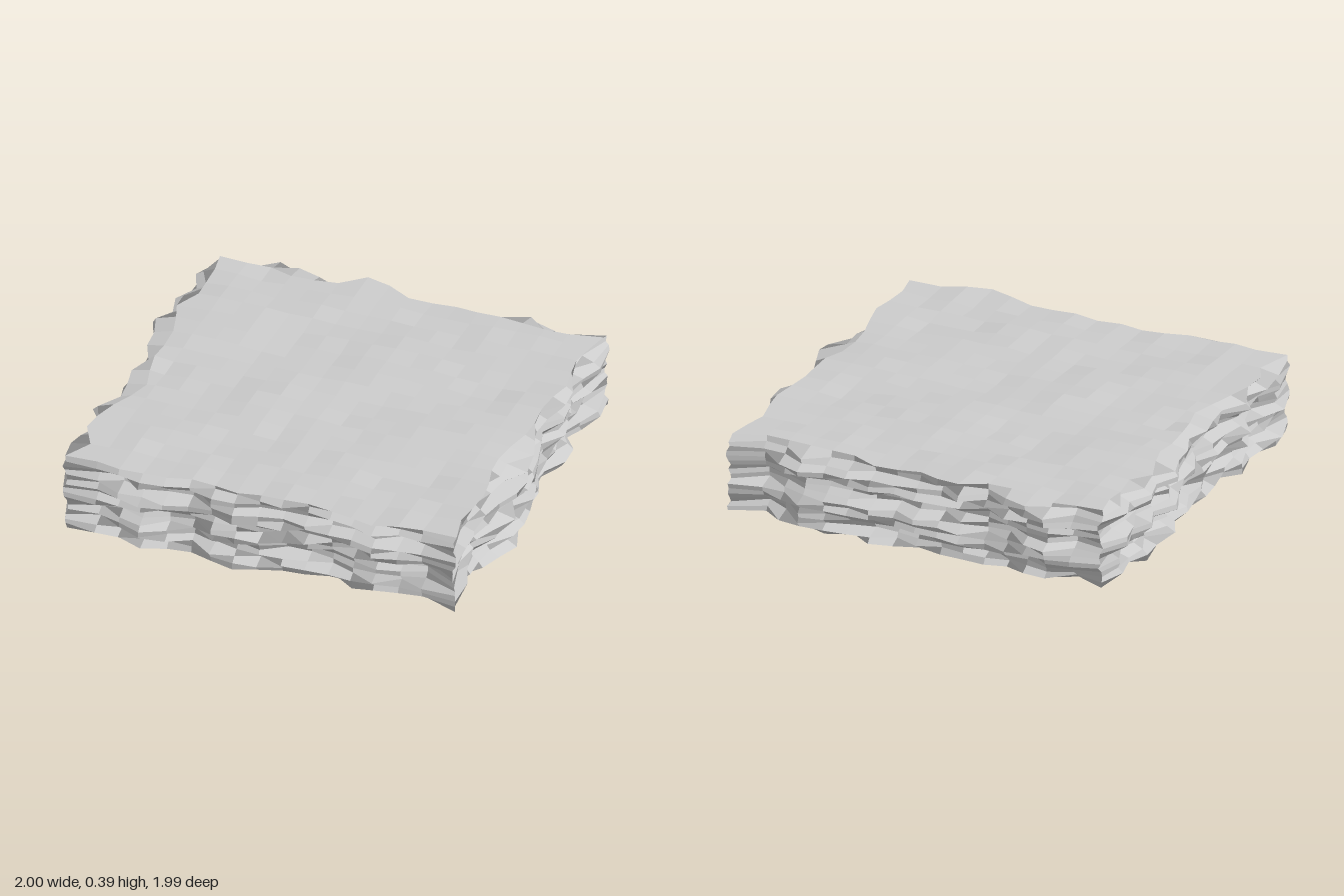
import * as THREE from 'three';

const N = 16;               // segments along every side
const PITCH = 0.11;         // spacing of the grid across the slab

// Outward reach in hundredths at each grid line: rim of the top, and boldest ledge.
// Strata run bottom to top: 1 is a ledge, 0 a groove.
const sides = {
  left: {
    rim: [90, 88, 88, 87, 93, 89, 86, 86, 86, 84, 81, 84, 88, 91, 92, 86, 92],
    ledge: [91, 97, 95, 98, 95, 100, 95, 94, 92, 93, 93, 92, 98, 93, 95, 98, 93],
    strata: [0.3, 1, 0.7, 0.4, 0.1, 0.3, 0.5, 0.8, 1, 0.8, 0.4, 0.2, 0.4, 0.7, 1, 0.8],
    seed: 1,
  },
  right: {
    rim: [92, 90, 88, 90, 92, 90, 89, 90, 90, 87, 86, 87, 90, 92, 91, 90, 93],
    ledge: [93, 95, 92, 93, 96, 97, 94, 93, 96, 100, 100, 99, 95, 94, 92, 93, 94],
    strata: [0.6, 0.5, 0.5, 0.4, 0.5, 0.4, 0.2, 0.1, 0.2, 0.4, 0.8, 1, 0.7, 0.3, 0.6, 0.5],
    seed: 2,
  },
  back: {
    rim: [88, 88, 89, 85, 85, 86, 94, 92, 87, 88, 89, 86, 86, 85, 84, 84, 88],
    ledge: [91, 95, 100, 97, 94, 93, 96, 94, 95, 93, 96, 96, 97, 99, 95, 91, 93],
    strata: [0.5, 0.7, 0.3, 0.4, 0.8, 1, 0.8, 0.5, 0.2, 0.1, 0.3, 0.6, 0.9, 1, 0.7, 0.4],
    seed: 3,
  },
  front: {
    rim: [92, 91, 93, 92, 92, 89, 89, 91, 89, 90, 89, 90, 93, 96, 93, 90, 90],
    ledge: [93, 95, 96, 99, 97, 94, 97, 97, 96, 94, 94, 93, 94, 97, 94, 93, 94],
    strata: [0.5, 0.8, 0.7, 0.4, 0.3, 0.2, 0.3, 0.4, 0.5, 0.7, 1, 0.9, 0.5, 0.4, 0.6, 0.6],
    seed: 4,
  },
};

// Repeatable value from 0 to 1 for a grid point
function hash(a, b, c) {
  const s = Math.sin(a * 127.1 + b * 311.7 + c * 74.7) * 43758.5453;
  return s - Math.floor(s);
}

// Distance of a side from the centre at column n, row j
function reach({ rim, ledge, strata, seed }, n, j) {
  if (j === N) return rim[n] / 100;
  const wave = 0.3 * Math.sin(n * 0.9 + seed * 2) * Math.cos(j * 1.1 + n * 0.35 + seed);
  const w = 0.08 + 0.8 * strata[j] + wave + 0.9 * (hash(n, j, seed) - 0.5);
  const depth = n === 0 || n === N ? 0.02 : 0.1;   // corners stay straighter
  return ledge[n] / 100 - depth * (1 - THREE.MathUtils.clamp(w, 0, 1));
}

// One flat normal for each pair of triangles, so every facet reads as a block
function facetNormals(geometry) {
  geometry.computeVertexNormals();
  const normal = geometry.attributes.normal;
  const sum = new THREE.Vector3();
  const part = new THREE.Vector3();
  for (let v = 0; v < normal.count; v += 6) {
    sum.fromBufferAttribute(normal, v).add(part.fromBufferAttribute(normal, v + 3)).normalize();
    for (let c = 0; c < 6; c++) normal.setXYZ(v + c, sum.x, sum.y, sum.z);
  }
}

export function createModel() {
  const group = new THREE.Group();
  group.name = 'rockSlab';

  const geometry = new THREE.BoxGeometry(2, 2, 2, N, N, N).toNonIndexed();
  const pos = geometry.attributes.position;
  for (let v = 0; v < pos.count; v++) {
    const [i, j, k] = [pos.getX(v), pos.getY(v), pos.getZ(v)].map((p) => Math.round((p + 1) * N / 2));
    let x = (i - N / 2) * PITCH;
    let y = 0.018 + j * 0.0228;
    let z = (k - N / 2) * PITCH;

    // Layered, broken edges
    if (i === 0) x = -reach(sides.left, k, j);
    if (i === N) x = reach(sides.right, k, j);
    if (k === 0) z = -reach(sides.back, i, j);
    if (k === N) z = reach(sides.front, i, j);

    // Gently uneven top and bottom
    if (j === 0 || j === N) {
      const swell = 0.007 * Math.sin(i * 0.8 + j) * Math.cos(k * 0.7);
      y += swell + 0.015 * (hash(i, j, k) - 0.5);
    }
    pos.setXYZ(v, x, y, z);
  }
  facetNormals(geometry);

  const slab = new THREE.Mesh(geometry, new THREE.MeshStandardMaterial({ color: 0xcccccc }));
  slab.name = 'layeredStone';
  group.add(slab);
  return group;
}
